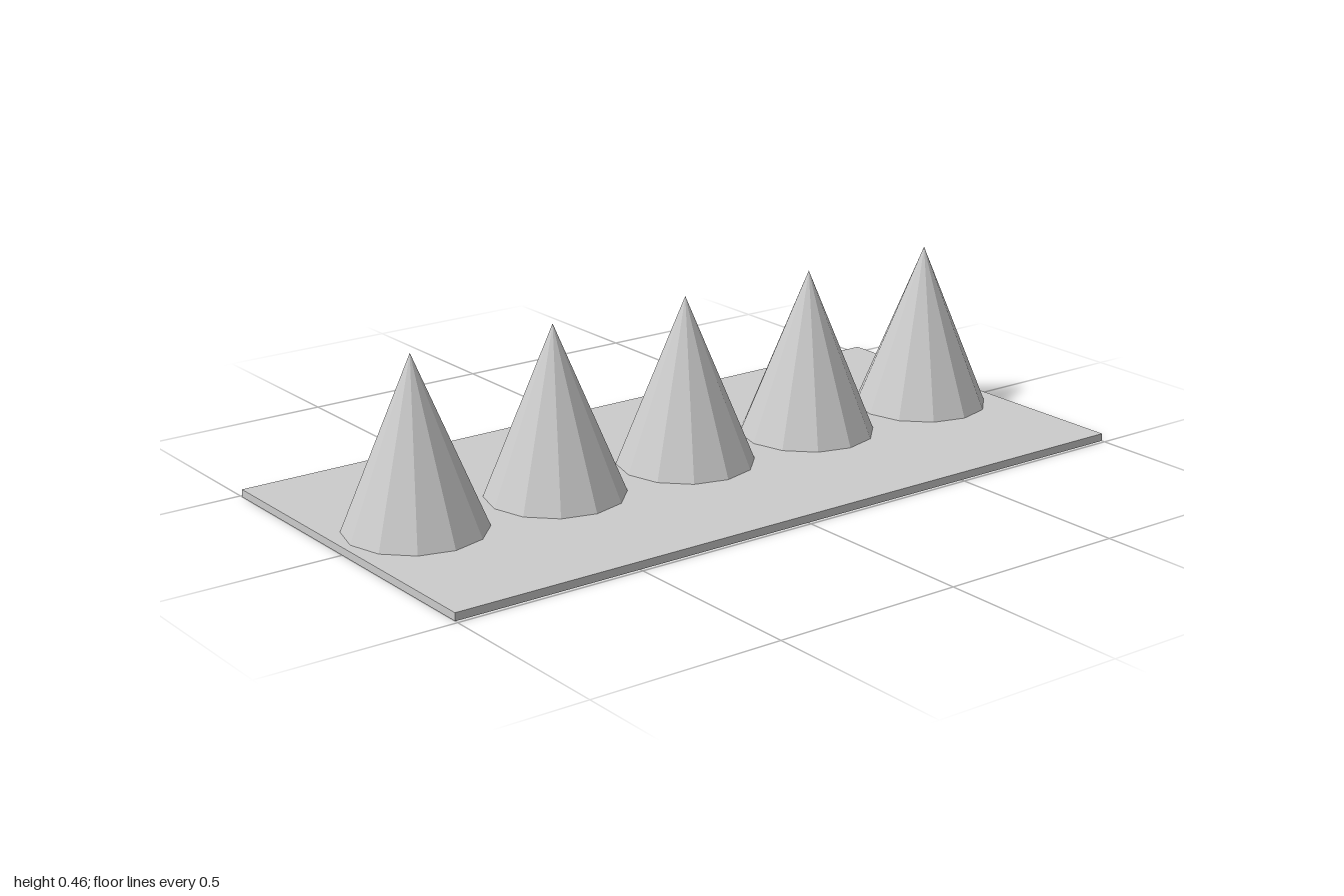
import * as THREE from 'three';

export function createModel() {
  const model = new THREE.Group();
  const material = new THREE.MeshStandardMaterial({ color: 0xcccccc, flatShading: true });

  // Thin base plate
  const thickness = 0.02;
  const plate = new THREE.Mesh(new THREE.BoxGeometry(2, thickness, 0.98), material);
  plate.name = 'basePlate';
  plate.position.y = thickness / 2;
  model.add(plate);

  // Row of five twelve-sided spikes standing on the plate
  const height = 0.435;
  const spikeGeometry = new THREE.ConeGeometry(0.178, height, 12);
  for (let i = 0; i < 5; i++) {
    const spike = new THREE.Mesh(spikeGeometry, material);
    spike.name = `spike${i + 1}`;
    spike.position.set((i - 2) * 0.4, thickness + height / 2, 0);
    model.add(spike);
  }

  return model;
}
